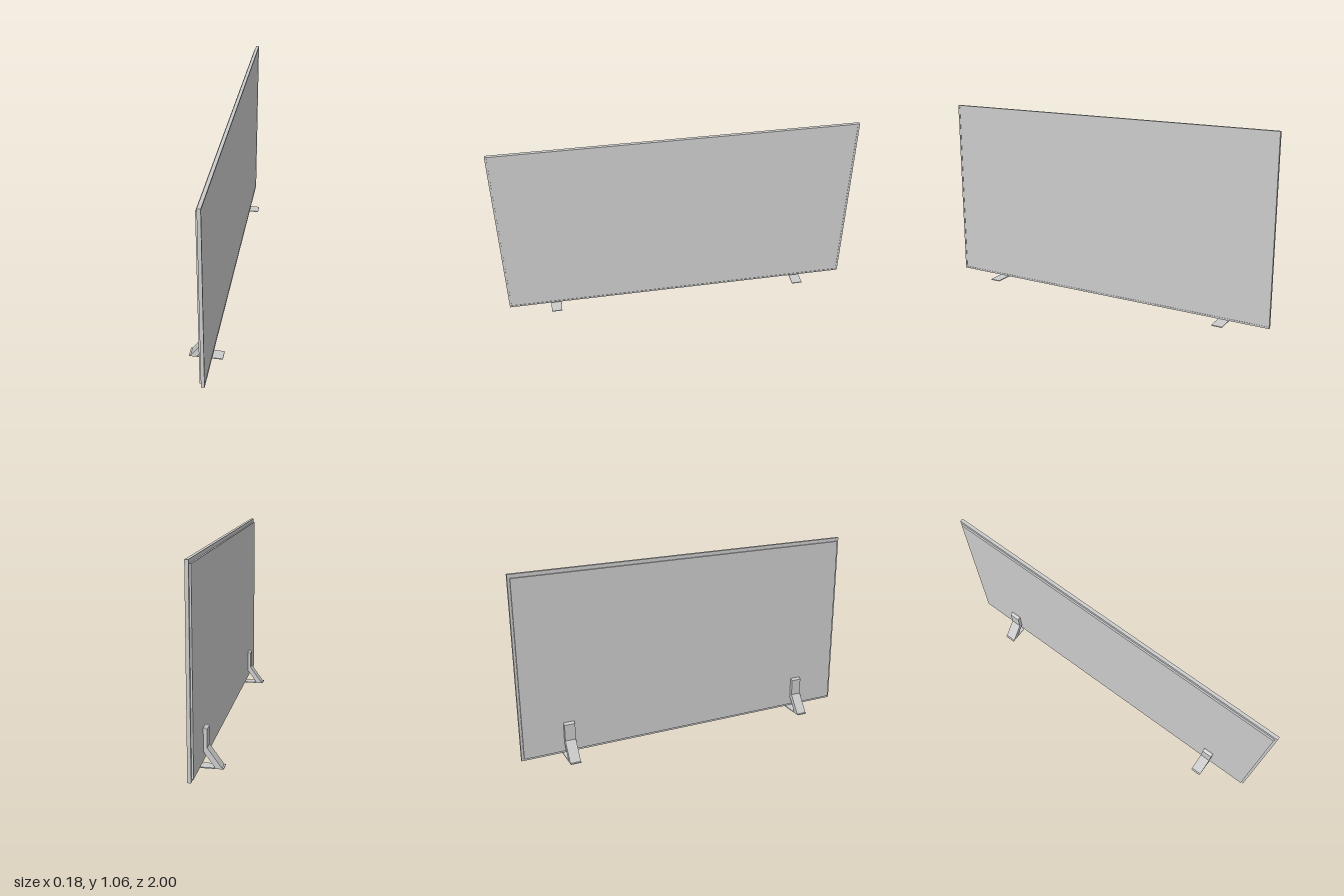
import * as THREE from 'three';

const material = new THREE.MeshStandardMaterial({ color: 0xcccccc, flatShading: true });

// Box given by its low and high corners
function box(name, [x0, y0, z0], [x1, y1, z1]) {
  const mesh = new THREE.Mesh(new THREE.BoxGeometry(x1 - x0, y1 - y0, z1 - z0), material);
  mesh.name = name;
  mesh.position.set((x0 + x1) / 2, (y0 + y1) / 2, (z0 + z1) / 2);
  return mesh;
}

// Thin bezel around the screen, extruded through the panel's thickness
function bezel() {
  const w = 1, h = 0.52, rim = 0.01;
  const rect = (a, b, s) => s.moveTo(-a, -b).lineTo(a, -b).lineTo(a, b).lineTo(-a, b).closePath();
  const outline = rect(w, h, new THREE.Shape());
  outline.holes.push(rect(w - rim, h - rim, new THREE.Path()));
  const geometry = new THREE.ExtrudeGeometry(outline, { depth: 0.018, bevelEnabled: false });
  geometry.rotateY(Math.PI / 2);
  const mesh = new THREE.Mesh(geometry, material);
  mesh.name = 'bezel';
  mesh.position.set(0.02, 0.545, 0);
  return mesh;
}

// Stand: flat foot plate and a bent bracket up to the back cover
function stand(name, z) {
  const group = new THREE.Group();
  group.name = name;
  const width = 0.06;
  group.add(box('footPlate', [-0.09, 0, -width / 2], [0.09, 0.005, width / 2]));

  const profile = new THREE.Shape([
    [-0.082, 0.004], [-0.048, 0.004], [0.011, 0.086], [0.011, 0.209],
    [0.004, 0.209], [-0.008, 0.201], [-0.008, 0.107],
  ].map(([x, y]) => new THREE.Vector2(x, y)));
  const geometry = new THREE.ExtrudeGeometry(profile, { depth: width, bevelEnabled: false });
  geometry.translate(0, 0, -width / 2);
  const bracket = new THREE.Mesh(geometry, material);
  bracket.name = 'bracket';
  group.add(bracket);
  group.position.z = z;
  return group;
}

export function createModel() {
  const model = new THREE.Group();
  model.name = 'television';

  // Display, facing +x
  model.add(bezel());
  model.add(box('screen', [0.02, 0.035, -0.99], [0.036, 1.055, 0.99]));
  model.add(box('backCover', [0.011, 0.038, -0.987], [0.02, 1.045, 0.987]));

  // Two matching stands
  for (const side of [-1, 1]) {
    model.add(stand(side > 0 ? 'frontStand' : 'rearStand', side * 0.73));
  }
  return model;
}
